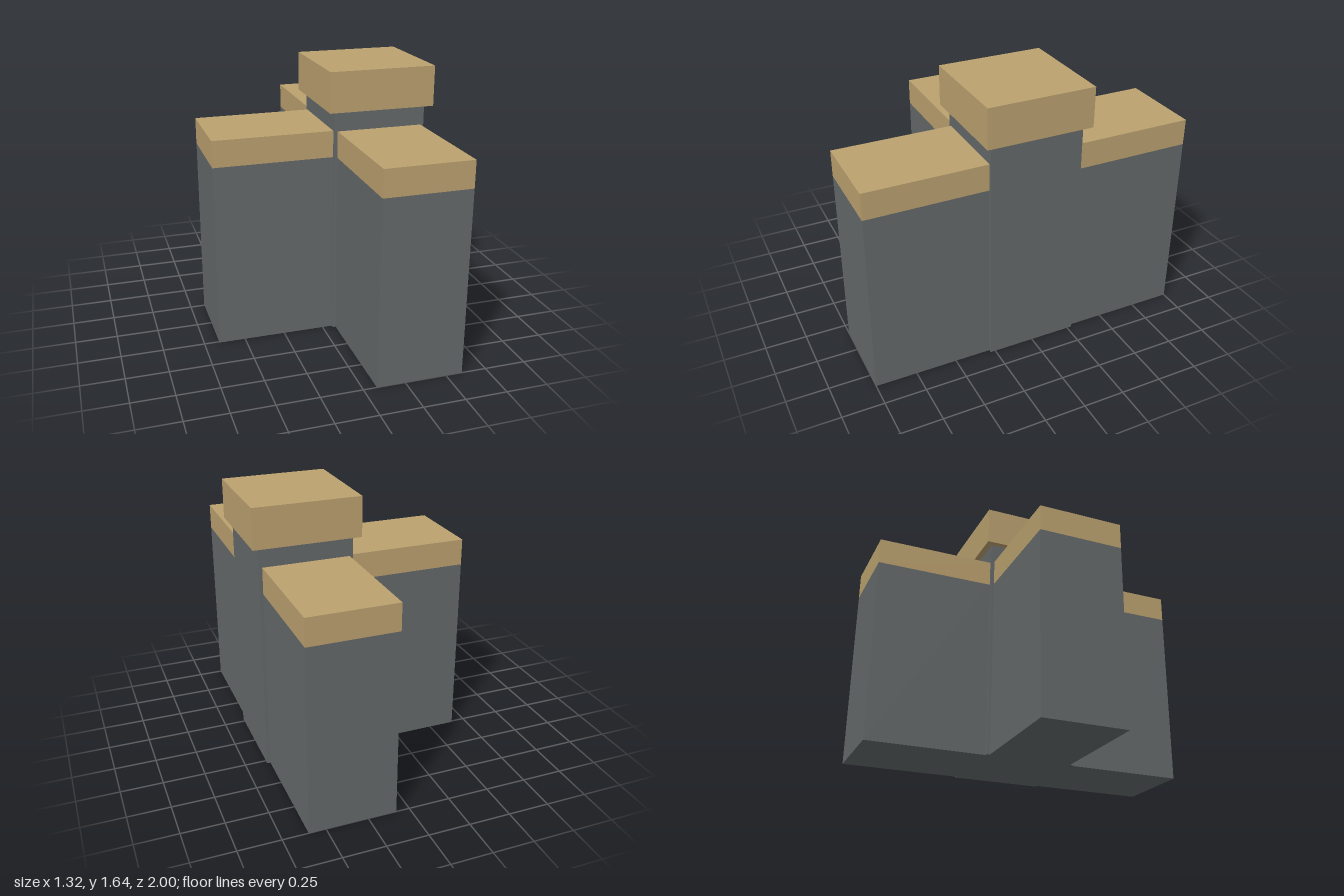
import * as THREE from 'three';

export function createModel() {
  const group = new THREE.Group();
  const stone = new THREE.MeshStandardMaterial({ name: 'grey stone', color: 0x646969 });
  const sand = new THREE.MeshStandardMaterial({ name: 'sand cap', color: 0xbba16f });

  // Box given by its low and high corner
  const block = (name, material, [x0, y0, z0], [x1, y1, z1]) => {
    const mesh = new THREE.Mesh(new THREE.BoxGeometry(x1 - x0, y1 - y0, z1 - z0), material);
    mesh.name = name;
    mesh.position.set((x0 + x1) / 2, (y0 + y1) / 2, (z0 + z1) / 2);
    group.add(mesh);
  };

  // Central pillar with an overhanging cap
  block('pillar', stone, [0.06, 0, -0.28], [0.62, 1.4, 0.28]);
  block('pillarCap', sand, [0.02, 1.4, -0.32], [0.66, 1.64, 0.32]);

  // Three wall arms meeting the pillar, each with a flush cap
  const arms = [
    ['frontWall', 0.08, 0.6, 0.28, 1],
    ['backWall', 0.08, 0.6, -1, -0.28],
    ['sideWall', -0.66, 0.06, -0.26, 0.26],
  ];
  for (const [name, x0, x1, z0, z1] of arms) {
    block(name, stone, [x0, 0, z0], [x1, 1.12, z1]);
    block(name + 'Cap', sand, [x0, 1.12, z0], [x1, 1.28, z1]);
  }
  return group;
}
